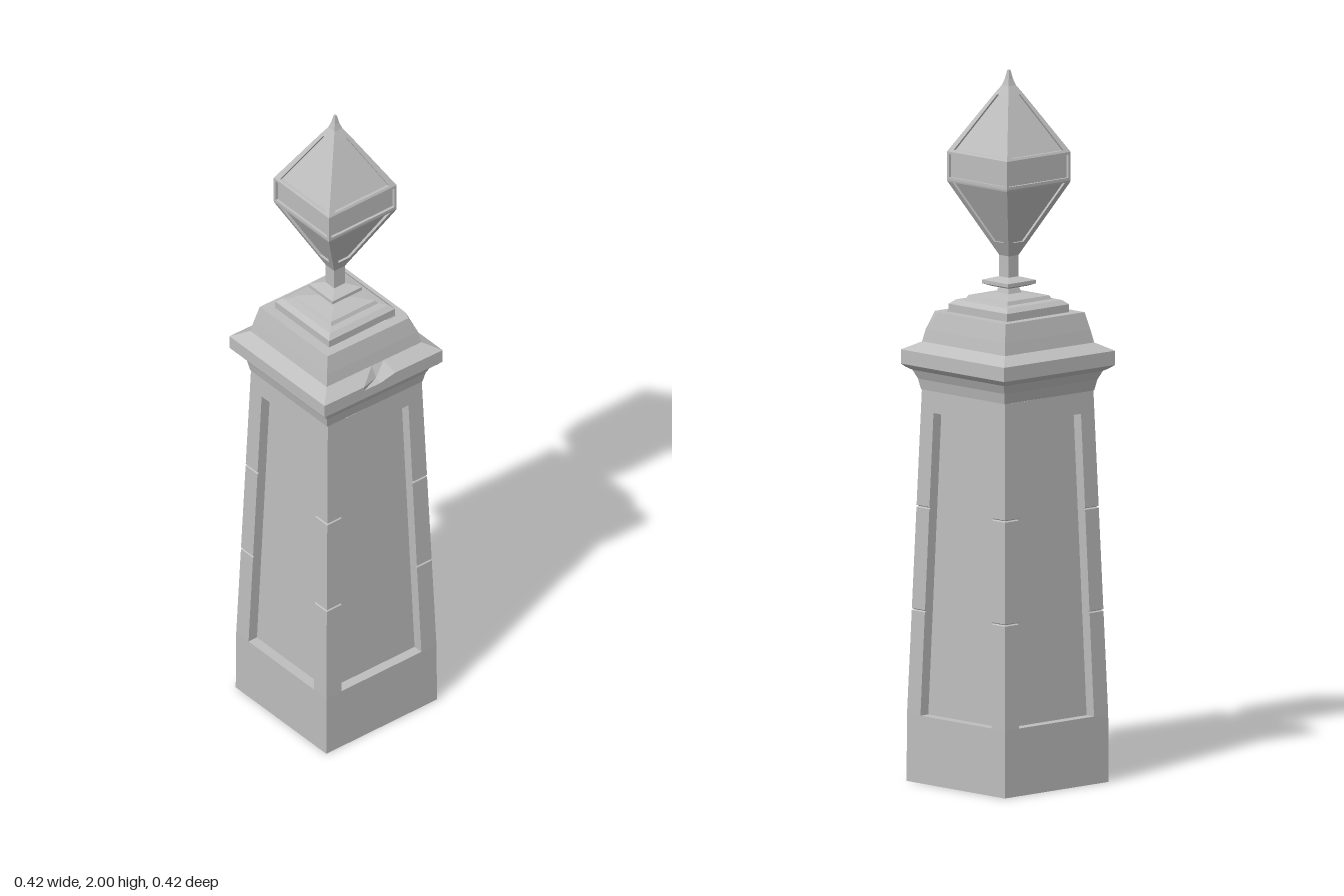
import * as THREE from 'three';

const stone = new THREE.MeshStandardMaterial({ color: 0xbebebe, side: THREE.DoubleSide });
stone.name = 'grey stone';

// Flat-shaded skin through rings of equal point count, listed bottom to top.
function loft(name, rings, capTop = false) {
  const pos = [];
  const tri = (a, b, c) => {
    const t = new THREE.Triangle(new THREE.Vector3(...a), new THREE.Vector3(...b), new THREE.Vector3(...c));
    if (t.getArea() > 1e-9) pos.push(...a, ...b, ...c);
  };
  for (let i = 0; i < rings.length - 1; i++) {
    const lo = rings[i], hi = rings[i + 1], n = lo.length;
    for (let j = 0; j < n; j++) {
      const k = (j + 1) % n;
      tri(lo[j], lo[k], hi[k]);
      tri(lo[j], hi[k], hi[j]);
    }
  }
  if (capTop) {
    const top = rings[rings.length - 1];
    for (let j = 1; j < top.length - 1; j++) tri(top[0], top[j], top[j + 1]);
  }
  const g = new THREE.BufferGeometry();
  g.setAttribute('position', new THREE.Float32BufferAttribute(pos, 3));
  g.computeVertexNormals();
  const mesh = new THREE.Mesh(g, stone);
  mesh.name = name;
  return mesh;
}

// Square ring of half width h; each side has a panel of half width p at distance q.
function panelRing(y, h, p, q = h, dz = 0) {
  const side = [[-h, h], [-p, h], [-p, q], [p, q], [p, h]];
  const ring = [];
  for (let s = 0; s < 4; s++) {
    for (const [a, b] of side) {
      let x = a, z = b;
      for (let r = 0; r < s; r++) [x, z] = [z, -x];
      ring.push([x, y, z + dz]);
    }
  }
  return ring;
}

// Slightly skewed square ring, with an optional cut corner and a dent in the front edge.
function capRing(y, h, dz = 0, cut = 0, dent = 0) {
  return [
    [-h, y, h], [-h * 0.33, y, h], [-h * 0.05, y - dent / 4, h - dent], [h * 0.2, y, h],
    [h - cut * 0.4, y, h], [h, y, h - cut], [h, y, -h], [-h, y, -h],
  ].map(([x, yy, z]) => [x, yy, z + dz + 0.019 * x]);
}

function makeShaft() {
  const lerp = THREE.MathUtils.lerp;
  const bottom = 0.19, top = 1.04, depth = 0.03;
  const half = y => lerp(0.197, 0.168, (y - bottom) / 0.91);
  const panel = y => lerp(0.143, 0.119, (y - bottom) / (top - bottom));
  const rings = [
    panelRing(0, 0.198, 0.143),
    panelRing(bottom, half(bottom), panel(bottom)),
    panelRing(bottom, half(bottom), panel(bottom), half(bottom) - depth),
  ];
  // hairline joints cut into the corner posts
  for (const y of [0.483, 0.773]) {
    for (const [dy, cut] of [[-0.003, 0], [0, 0.005], [0.003, 0]]) {
      const v = y + dy;
      rings.push(panelRing(v, half(v) - cut, panel(v), half(v) - depth));
    }
  }
  rings.push(
    panelRing(top, half(top), panel(top), half(top) - depth),
    panelRing(top, half(top), panel(top)),
    panelRing(1.1, 0.168, 0.119),
  );
  return loft('shaft', rings);
}

function makeFinial() {
  const d = 0.008;
  const low = y => 0.019 + (y - 1.48) * 0.101 / 0.205;
  const high = y => 0.121 - (y - 1.77) * 0.092 / 0.162;
  const ring = (y, h, p, q) => panelRing(y, h, p, q, -0.005);
  const rings = [
    // lower facets
    ring(1.48, 0.019, 0.015),
    ring(1.52, low(1.52), 0.02),
    ring(1.52, low(1.52), 0.02, low(1.52) - d),
    ring(1.685, low(1.685), 0.1, low(1.685) - d),
    ring(1.685, low(1.685), 0.1),
    // sunken middle band
    ring(1.69, 0.121, 0.113),
    ring(1.698, 0.121, 0.113),
    ring(1.698, 0.121, 0.113, 0.121 - d),
    ring(1.763, 0.121, 0.113, 0.121 - d),
    ring(1.763, 0.121, 0.113),
    ring(1.77, 0.121, 0.1),
    // upper facets
    ring(1.776, high(1.776), 0.098),
    ring(1.776, high(1.776), 0.098, high(1.776) - d),
    ring(1.932, high(1.932), 0.016, high(1.932) - d),
    ring(1.932, high(1.932), 0.016),
    // pointed tip
    ring(1.957, 0.014, 0.008),
    ring(1.975, 0.008, 0.004),
    ring(2.0, 0.003, 0.002),
  ];
  return loft('finial', rings, true);
}

export function createModel() {
  const model = new THREE.Group();
  model.name = 'stonePillar';

  model.add(makeShaft());

  // flared neck and projecting slab with a dented front edge
  model.add(loft('cornice', [
    capRing(1.1, 0.168), capRing(1.13, 0.174), capRing(1.155, 0.185), capRing(1.163, 0.198),
    capRing(1.172, 0.208, -0.0015), capRing(1.2, 0.208, -0.0015),
    capRing(1.212, 0.208, -0.0015, 0, 0.02), capRing(1.235, 0.167, -0.002),
  ]));

  // tapered block with one chipped corner
  model.add(loft('capBlock', [
    capRing(1.235, 0.167, -0.002), capRing(1.27, 0.16, -0.002),
    capRing(1.32, 0.148, -0.003, 0.027), capRing(1.32, 0.118, -0.003),
  ]));

  // stepped plinth, collar and stem, as [height, half width]
  const steps = [
    [1.32, 0.118], [1.342, 0.118], [1.354, 0.104], [1.357, 0.084], [1.367, 0.079], [1.375, 0.025],
    [1.39, 0.02], [1.393, 0.035], [1.4, 0.053], [1.41, 0.053], [1.417, 0.03], [1.42, 0.019], [1.48, 0.019],
  ];
  model.add(loft('plinthAndStem', steps.map(([y, h]) => panelRing(y, h, h * 0.8, h, -0.005))));

  model.add(makeFinial());
  return model;
}
